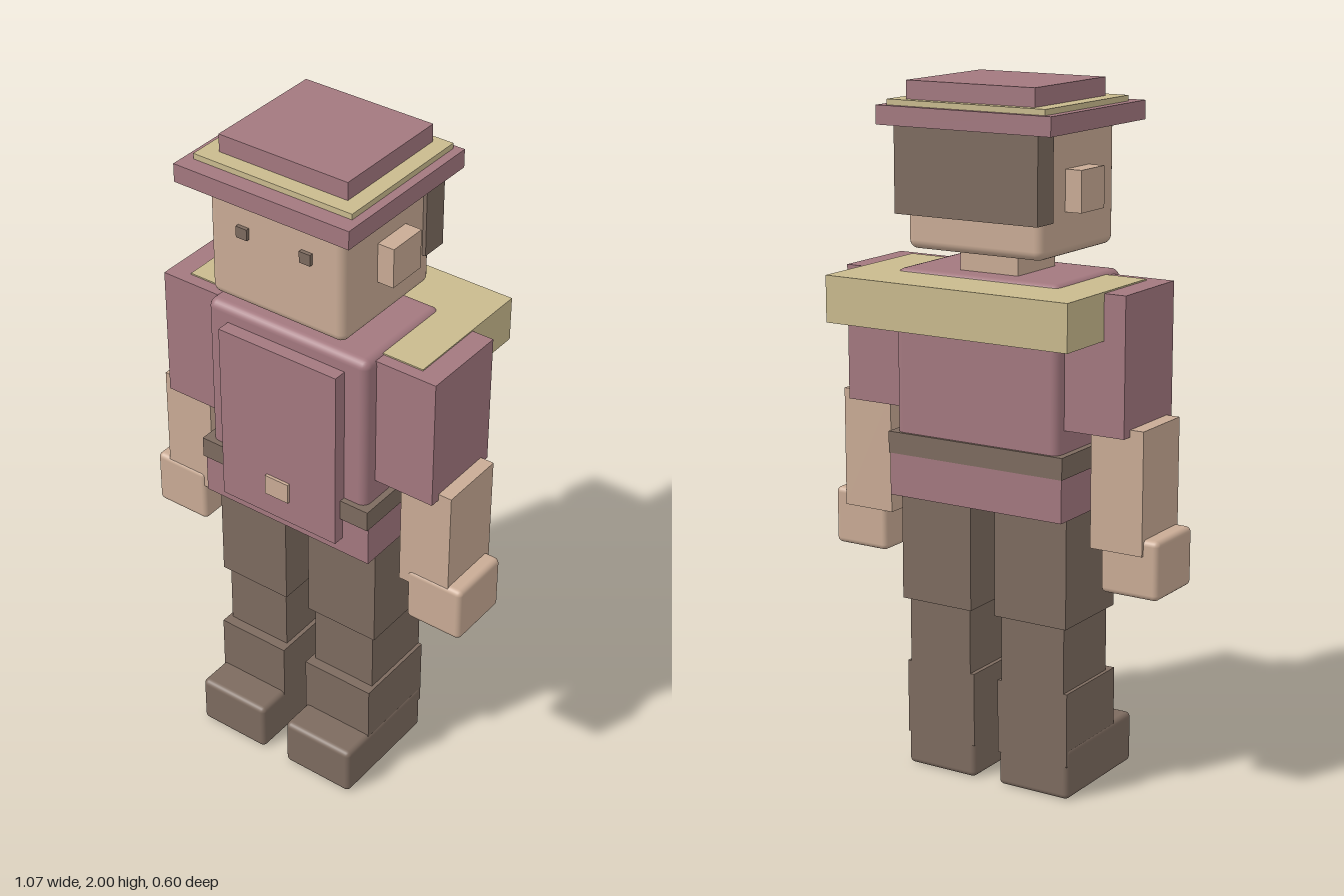
import * as THREE from 'three';
import { RoundedBoxGeometry } from 'three/addons/geometries/RoundedBoxGeometry.js';

const material = (name, color) => {
  const m = new THREE.MeshStandardMaterial({ color });
  m.name = name;
  return m;
};

export function createModel() {
  const skin = material('skin', 0xc9ab95);
  const mauve = material('mauve cloth', 0xa3787f);
  const straw = material('straw trim', 0xc9ba8e);
  const brown = material('brown leather', 0x7d6b5f);

  const model = new THREE.Group();
  model.name = 'blockFigure';

  // Block spanning [min, max] on each axis; a radius rounds its edges
  const block = (parent, name, mat, [x0, x1], [y0, y1], [z0, z1], radius = 0) => {
    const size = [x1 - x0, y1 - y0, z1 - z0];
    const geometry = radius
      ? new RoundedBoxGeometry(...size, 3, radius)
      : new THREE.BoxGeometry(...size);
    const mesh = new THREE.Mesh(geometry, mat);
    mesh.position.set((x0 + x1) / 2, (y0 + y1) / 2, (z0 + z1) / 2);
    mesh.name = name;
    parent.add(mesh);
  };
  const group = (name) => {
    const g = new THREE.Group();
    g.name = name;
    model.add(g);
    return g;
  };
  const wide = (half) => [-half, half];

  // Head, hair and neck
  const head = group('head');
  block(head, 'skull', skin, wide(0.217), [1.54, 1.915], [-0.15, 0.236], 0.025);
  block(head, 'hair', brown, wide(0.228), [1.64, 1.9], [-0.19, -0.11]);
  block(head, 'neck', skin, wide(0.093), [1.44, 1.56], [-0.07, 0.123]);

  // Hat
  const hat = group('hat');
  block(hat, 'brim', mauve, wide(0.276), [1.88, 1.933], [-0.205, 0.297]);
  block(hat, 'hatBand', straw, wide(0.25), [1.93, 1.949], [-0.19, 0.248]);
  block(hat, 'crown', mauve, wide(0.203), [1.94, 2], [-0.165, 0.202]);

  // Torso and clothing
  const body = group('body');
  block(body, 'torso', mauve, wide(0.265), [0.92, 1.48], [-0.143, 0.2], 0.025);
  block(body, 'frontPanel', mauve, wide(0.194), [0.88, 1.43], [0.15, 0.24]);
  block(body, 'hips', mauve, wide(0.281), [0.83, 0.96], [-0.149, 0.207]);
  block(body, 'belt', brown, wide(0.284), [0.953, 1.015], [-0.152, 0.217]);
  block(body, 'buckle', skin, wide(0.039), [0.953, 1.015], [0.22, 0.249]);
  block(body, 'shoulderCape', straw, wide(0.385), [1.34, 1.472], [-0.298, 0.12]);

  // Paired parts, mirrored across the middle
  for (const [side, s] of [['left', 1], ['right', -1]]) {
    const span = (a, b) => (s > 0 ? [a, b] : [-b, -a]);

    block(head, side + 'Ear', skin, span(0.2, 0.267), [1.66, 1.775], [-0.031, 0.091]);
    block(head, side + 'Eye', brown, span(0.084, 0.119), [1.748, 1.781], [0.22, 0.247]);

    const arm = group(side + 'Arm');
    block(arm, 'sleeve', mauve, span(0.24, 0.45), [1.08, 1.468], [-0.109, 0.156]);
    block(arm, 'forearm', skin, span(0.33, 0.491), [0.752, 1.1], [-0.076, 0.126]);
    block(arm, 'hand', skin, span(0.357, 0.536), [0.628, 0.797], [-0.068, 0.13], 0.016);

    const leg = group(side + 'Leg');
    block(leg, 'thigh', brown, span(0.04, 0.272), [0.513, 0.86], [-0.106, 0.16]);
    block(leg, 'knee', brown, span(0.053, 0.257), [0.3, 0.53], [-0.09, 0.145]);
    block(leg, 'bootShaft', brown, span(0.04, 0.268), [0.1, 0.318], [-0.09, 0.176]);
    block(leg, 'foot', brown, span(0.04, 0.271), [0, 0.152], [-0.088, 0.278], 0.016);
  }
  return model;
}
